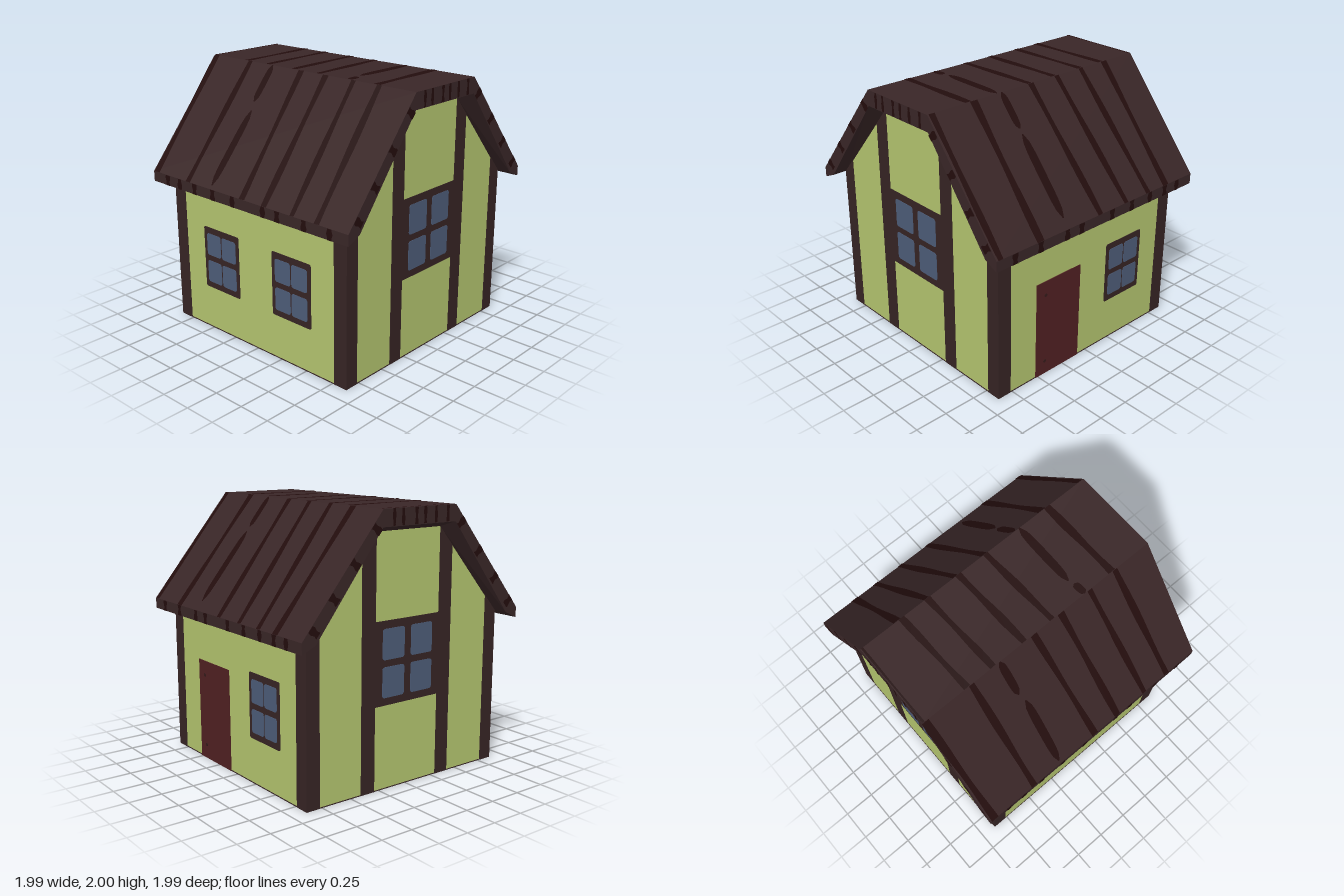
import * as THREE from 'three';

const mat = (name, color) => Object.assign(new THREE.MeshStandardMaterial({ color }), { name });
const plaster = mat('plaster', 0xb3c46e);
const timber = mat('timber', 0x362424);
const roofWood = mat('roofWood', 0x392627);
const grain = mat('grain', 0x230d0d);
const glass = mat('glass', 0x4d5c78);
const doorRed = mat('doorRed', 0x502022);
const iron = mat('iron', 0x361a1a);

const V = (x, y, z) => new THREE.Vector3(x, y, z);
const poly = (pts) => new THREE.Shape(pts.map(([x, y]) => new THREE.Vector2(x, y)));
const rect = (x0, y0, x1, y1) => [[x0, y0], [x1, y0], [x1, y1], [x0, y1]];

function add(parent, name, geometry, material) {
  const m = new THREE.Mesh(geometry, material);
  m.name = name;
  parent.add(m);
  return m;
}

function rounded(cx, cy, w, h, r) {
  const s = new THREE.Shape(), x = w / 2 - r, y = h / 2 - r;
  s.absarc(cx + x, cy + y, r, 0, Math.PI / 2);
  s.absarc(cx - x, cy + y, r, Math.PI / 2, Math.PI);
  s.absarc(cx - x, cy - y, r, Math.PI, Math.PI * 1.5);
  s.absarc(cx + x, cy - y, r, Math.PI * 1.5, Math.PI * 2);
  return s;
}

// Thin plate on a wall, its front face at z = front
function plate(parent, name, shape, material, front = 0.88) {
  const g = new THREE.ExtrudeGeometry(shape, { depth: 0.007, bevelEnabled: false, curveSegments: 4 });
  g.translate(0, 0, front - 0.007);
  return add(parent, name, g, material);
}

// Four panes set around a centre
function panes(parent, cx, cy, w, h, dx, dy) {
  for (const sx of [-1, 1]) for (const sy of [-1, 1])
    plate(parent, 'windowPane', rounded(cx + sx * dx, cy + sy * dy, w, h, 0.02), glass, 0.883);
}

function smallWindow(parent, cx) {
  plate(parent, 'windowFrame', rounded(cx, 0.587, 0.38, 0.49, 0.015), timber);
  panes(parent, cx, 0.587, 0.152, 0.175, 0.082, 0.11);
}

// Flat panel frame: streaks are drawn in its u, v plane
function panel(parent, name, origin, u, v) {
  const g = new THREE.Group(), n = u.clone().cross(v);
  g.name = name;
  new THREE.Matrix4().makeBasis(u, v, n).setPosition(origin.clone().addScaledVector(n, 0.003))
    .decompose(g.position, g.quaternion, g.scale);
  parent.add(g);
  return g;
}

// Wavy streak from (u0, v0) to (u1, v1); a knot has closed round ends
function streak(parent, u0, v0, u1, v1, w, knot = false) {
  const a = [], b = [], n = 10, du = u1 - u0, dv = v1 - v0, len = Math.hypot(du, dv);
  for (let i = 0; i <= n; i++) {
    const t = i / n;
    const half = w / 2 * (knot ? Math.sqrt(Math.max(0.02, 1 - (2 * t - 1) ** 4)) : 1 + 0.2 * Math.sin(7 * t + u0 * 20));
    const x = u0 + du * t, y = v0 + dv * t;
    a.push([x + dv / len * half, y - du / len * half]);
    b.unshift([x - dv / len * half, y + du / len * half]);
  }
  add(parent, 'woodGrain', new THREE.ShapeGeometry(poly([...a, ...b])), grain);
}

// Roof section (right eave, over the top, to left eave) and the lines below it
const outer = [[0.99, 1.2], [0.33, 2], [-0.33, 2], [-0.99, 1.2]];
const inner = [[0.88, 1.17], [0.33, 1.88], [-0.33, 1.88], [-0.88, 1.17]];
const wallTop = [[0.88, 1.17], [0.29, 1.84], [-0.29, 1.84], [-0.88, 1.17]];

// Grain per roof face: z at start, z at end, start and end along the face, width, knot
const roofGrain = [
  [[0.955, 0.955, 0, 1, 0.045], [0.6, 0.6, 0, 1, 0.055], [0.34, 0.345, 0.08, 0.69, 0.07, true], [0.345, 0.35, 0.73, 1, 0.06, true],
    [0.02, 0.075, 0, 1, 0.05], [-0.25, -0.18, 0, 1, 0.05], [-0.49, -0.43, 0, 1, 0.05], [-0.69, -0.68, 0, 1, 0.05]],
  [[-0.975, -0.98, 0, 1, 0.015], [-0.645, -0.62, 0, 1, 0.045], [-0.425, -0.4, 0, 1, 0.045], [-0.155, -0.13, 0, 1, 0.05],
    [0.085, 0.115, 0, 1, 0.05], [0.39, 0.385, 0, 0.79, 0.065, true], [0.4, 0.41, 0.85, 1, 0.055, true], [0.645, 0.655, 0, 1, 0.055]],
  [[-0.97, -0.95, 0, 1, 0.05], [-0.585, -0.585, 0, 1, 0.05], [-0.345, -0.345, 0, 0.3, 0.06, true], [-0.325, -0.335, 0.37, 0.97, 0.065, true],
    [-0.05, 0, 0, 1, 0.045], [0.19, 0.22, 0, 1, 0.05], [0.45, 0.49, 0, 1, 0.045], [0.68, 0.715, 0, 1, 0.05]],
];

function buildRoof() {
  const roof = new THREE.Group();
  roof.name = 'roof';
  const section = [[0.99, 1.12], ...outer, [-0.99, 1.12], ...[...inner].reverse()];
  const shell = new THREE.ExtrudeGeometry(poly(section), { depth: 1.98, bevelEnabled: false });
  add(roof, 'roofShell', shell.translate(0, 0, -0.99), roofWood);

  // Sloping soffits from the gable edge back to the wall
  const pos = [];
  for (let i = 0; i < 3; i++) {
    const [a, b, c, d] = [[...inner[i], 0.99], [...inner[i + 1], 0.99], [...wallTop[i + 1], 0.875], [...wallTop[i], 0.875]];
    pos.push(...a, ...b, ...c, ...a, ...c, ...d);
  }
  const soffit = new THREE.BufferGeometry();
  soffit.setAttribute('position', new THREE.Float32BufferAttribute(pos, 3));
  soffit.computeVertexNormals();
  add(roof, 'frontSoffit', soffit, roofWood);
  add(roof, 'backSoffit', soffit, roofWood).rotation.y = Math.PI;

  const gables = [0, Math.PI].map((r) => {
    const g = new THREE.Group();
    g.name = 'gableEdge';
    g.rotation.y = r;
    roof.add(g);
    return g;
  });
  for (let i = 0; i < 3; i++) {
    const p = V(...outer[i], 0), run = V(...outer[i + 1], 0).sub(p), len = run.length();
    run.normalize();
    // Long grain across each roof face
    const face = panel(roof, 'roofFace', p, V(0, 0, -1), run);
    for (const [z0, z1, t0, t1, w, knot] of roofGrain[i]) streak(face, -z0, t0 * len, -z1, t1 * len, w, knot);
    // Short marks on the gable edges
    for (const g of gables) {
      const edge = panel(g, 'edgeMarks', p.clone().setZ(0.99), run, V(-run.y, run.x, 0));
      const marks = i === 1 ? [0.12, 0.29, 0.44, 0.56, 0.74, 0.86] : i === 0 ? [0.1, 0.34, 0.6, 0.87] : [0.13, 0.4, 0.66, 0.9];
      for (const t of marks) streak(edge, t * len, 0, t * len, i === 1 ? 0.115 : 0.08, i === 1 ? 0.025 : 0.05);
    }
  }
  // Marks on the eave boards
  for (const s of [1, -1]) {
    const eave = panel(roof, 'eaveMarks', V(s * 0.99, 1.12, 0), V(0, 0, -s), V(0, 1, 0));
    for (const z of [0.83, 0.6, 0.35, 0.21, -0.1, -0.31, -0.51, -0.68, -0.82]) streak(eave, -z * s, 0, -z * s, 0.08, 0.045);
  }
  return roof;
}

export function createModel() {
  const house = new THREE.Group();
  house.name = 'cottage';

  // Plaster body
  const k = 0.876;
  const body = poly([[-k, 0.004], [k, 0.004], [k, 1.17], [0.29, 1.84], [-0.29, 1.84], [-k, 1.17]]);
  add(house, 'walls', new THREE.ExtrudeGeometry(body, { depth: 2 * k, bevelEnabled: false }).translate(0, 0, -k), plaster);

  // Wooden floor underneath
  add(house, 'floor', new THREE.BoxGeometry(1.76, 0.006, 1.76).translate(0, 0.004, 0), timber);
  const under = panel(house, 'floorGrain', V(0, 0.003, 0), V(1, 0, 0), V(0, 0, 1));
  streak(under, -0.3, -0.87, -0.44, 0.87, 0.06);
  streak(under, 0.29, 0.5, -0.31, 0.45, 0.12, true);
  streak(under, 0.24, -0.38, -0.33, -0.42, 0.12, true);

  // Four wall faces: front, left (door), back, right
  ['frontWall', 'doorWall', 'backWall', 'windowWall'].forEach((name, i) => {
    const wall = new THREE.Group();
    wall.name = name;
    wall.rotation.y = i * Math.PI / 2;
    house.add(wall);
    const gable = i % 2 === 0;
    for (const s of [-1, 1]) {
      const corner = gable ? [[0.77, 0], [0.88, 0], [0.88, 1.17], [0.77, 1.295]] : rect(0.765, 0, 0.88, 1.17);
      plate(wall, 'cornerPost', poly(corner.map(([x, y]) => [s * x, y])), timber);
      if (gable) {
        const post = [[0.293, 0], [0.413, 0], [0.413, 1.7], [0.293, 1.836]];
        plate(wall, 'post', poly(post.map(([x, y]) => [s * x, y])), timber);
      }
    }
    if (gable) {
      plate(wall, 'windowFrame', poly(rect(-0.294, 0.62, 0.294, 1.225)), timber);
      panes(wall, 0, 0.922, 0.2, 0.222, 0.13, 0.136);
    } else if (i === 1) {
      plate(wall, 'door', poly(rect(-0.52, 0, -0.087, 0.78)), doorRed, 0.882);
      for (const y of [0.67, 0.11]) plate(wall, 'hinge', rounded(-0.435, y, 0.024, 0.026, 0.01), iron, 0.885);
      smallWindow(wall, 0.38);
    } else {
      smallWindow(wall, -0.37);
      smallWindow(wall, 0.36);
    }
  });

  house.add(buildRoof());
  return house;
}
